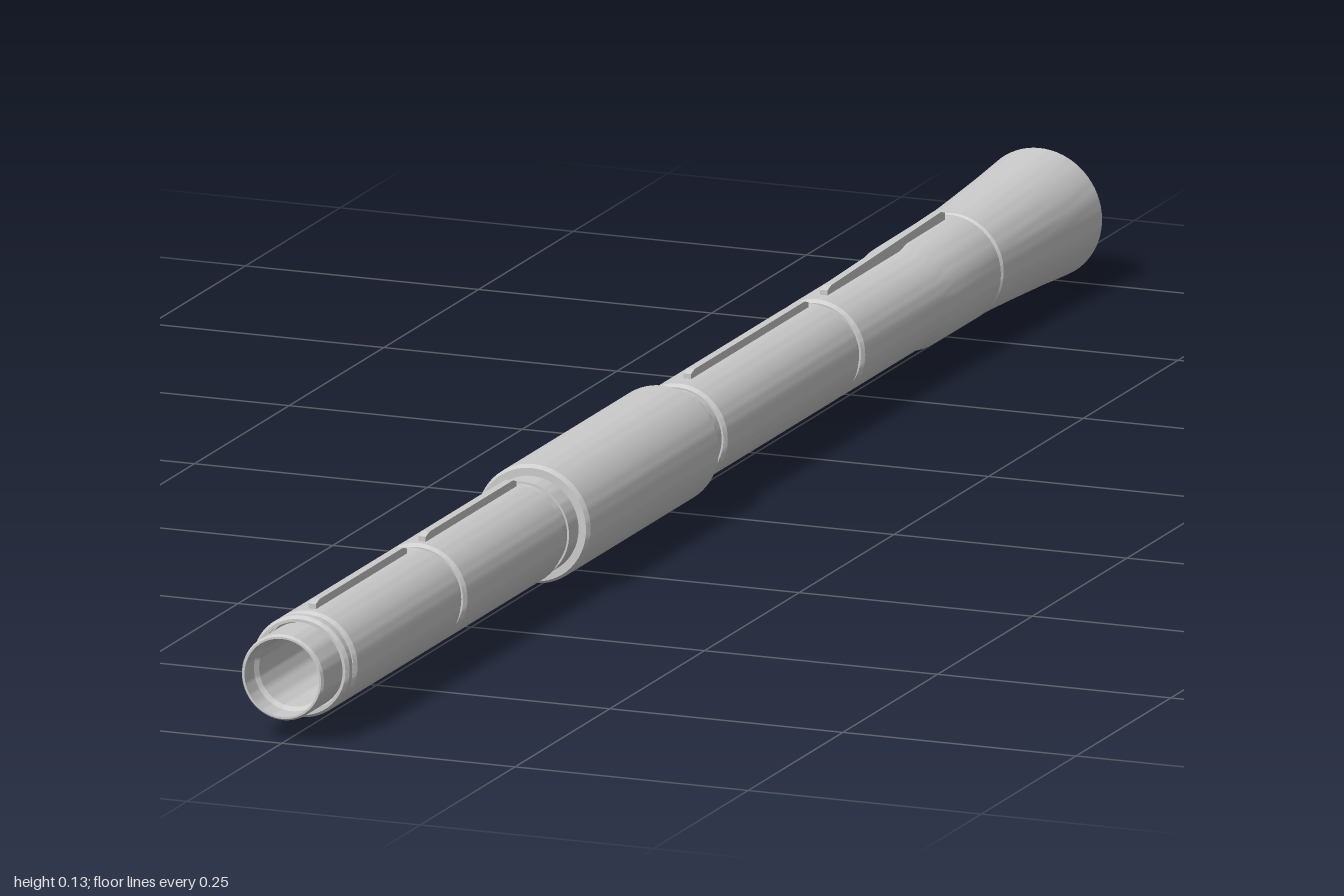
import * as THREE from 'three';
import { toCreasedNormals } from 'three/addons/utils/BufferGeometryUtils.js';

const AXIS = 0.067;
const material = new THREE.MeshStandardMaterial({ color: 0xcccccc, side: THREE.DoubleSide });

export function createModel() {
  const root = new THREE.Group();
  root.name = 'slottedTube';

  const add = (name, geometry) => {
    const mesh = new THREE.Mesh(geometry, material);
    mesh.name = name;
    mesh.position.y = AXIS;
    root.add(mesh);
    return mesh;
  };

  // Turned part about the z axis; the profile lists [z, radius] pairs from back to front
  const turned = (name, profile) => {
    const points = profile.map(([z, r]) => new THREE.Vector2(r, z));
    const geometry = new THREE.LatheGeometry(points, 64).rotateX(Math.PI / 2);
    add(name, toCreasedNormals(geometry, 0.45));
  };

  // Tube section with small bevelled ends that meet its neighbours in a groove
  const section = (name, back, front, rBack, rFront = rBack) => turned(name, [
    [back, 0.046], [back, rBack - 0.003], [back + 0.004, rBack],
    [front - 0.004, rFront], [front, rFront - 0.003], [front, 0.046],
  ]);

  // Flared bell, thin walled and open at the back
  turned('bell', [
    [-0.77, 0.036], [-0.8, 0.045], [-0.9, 0.055], [-1, 0.066],
    [-1, 0.067], [-0.93, 0.0625], [-0.85, 0.0585], [-0.77, 0.055], [-0.765, 0.05],
  ]);

  // Rear tube sections, the last one swelling slightly towards the bell
  turned('rearSection', [
    [-0.765, 0.046], [-0.765, 0.053], [-0.76, 0.056], [-0.64, 0.0555], [-0.62, 0.052],
    [-0.412, 0.052], [-0.408, 0.049], [-0.408, 0.046],
  ]);
  section('rearMiddleSection', -0.398, -0.045, 0.052);

  // Stepped necks at both ends of the sleeve
  turned('rearNeck', [
    [-0.05, 0.047], [-0.03, 0.047], [-0.03, 0.051], [-0.015, 0.053], [-0.015, 0.048], [0, 0.048],
  ]);
  turned('frontNeck', [
    [0.33, 0.05], [0.365, 0.05], [0.365, 0.048], [0.39, 0.048],
  ]);

  // Thick central sleeve
  turned('sleeve', [
    [-0.008, 0.046], [-0.008, 0.057], [-0.003, 0.061], [0.335, 0.061], [0.34, 0.058], [0.34, 0.046],
  ]);

  // Front tube sections
  section('frontMiddleSection', 0.38, 0.642, 0.052);
  section('frontSection', 0.652, 0.932, 0.052);
  section('frontRing', 0.937, 0.953, 0.052);

  // Dark grooves between the sections
  for (const [z, half] of [[-0.403, 0.008], [0.647, 0.008], [0.935, 0.005]]) {
    turned('groove', [[z - half, 0.047], [z + half, 0.047]]);
  }

  // Open front socket with a stepped mouth
  turned('frontSocket', [
    [0.945, 0.044], [0.997, 0.044], [1, 0.042], [1, 0.04], [0.975, 0.04], [0.97, 0.0365],
  ]);

  // Through bore
  turned('bore', [[-0.77, 0.0365], [0.97, 0.0365]]);

  // Thin ridges along the top: [back, front, top radius at back, top radius at front]
  const ridges = [
    [-0.74, -0.43, 0.066, 0.06],
    [-0.38, -0.07, 0.06, 0.06],
    [0.39, 0.63, 0.06, 0.06],
    [0.68, 0.92, 0.06, 0.06],
  ];
  for (const [back, front, topBack, topFront] of ridges) {
    const shape = new THREE.Shape([
      new THREE.Vector2(-front, 0.048), new THREE.Vector2(-back, 0.048),
      new THREE.Vector2(-back, topBack - 0.003), new THREE.Vector2(-back - 0.01, topBack),
      new THREE.Vector2(-front + 0.01, topFront), new THREE.Vector2(-front, topFront - 0.003),
    ]);
    const geometry = new THREE.ExtrudeGeometry(shape, { depth: 0.008, bevelEnabled: false });
    add('topRidge', geometry.translate(0, 0, -0.004).rotateY(Math.PI / 2));
  }

  return root;
}
